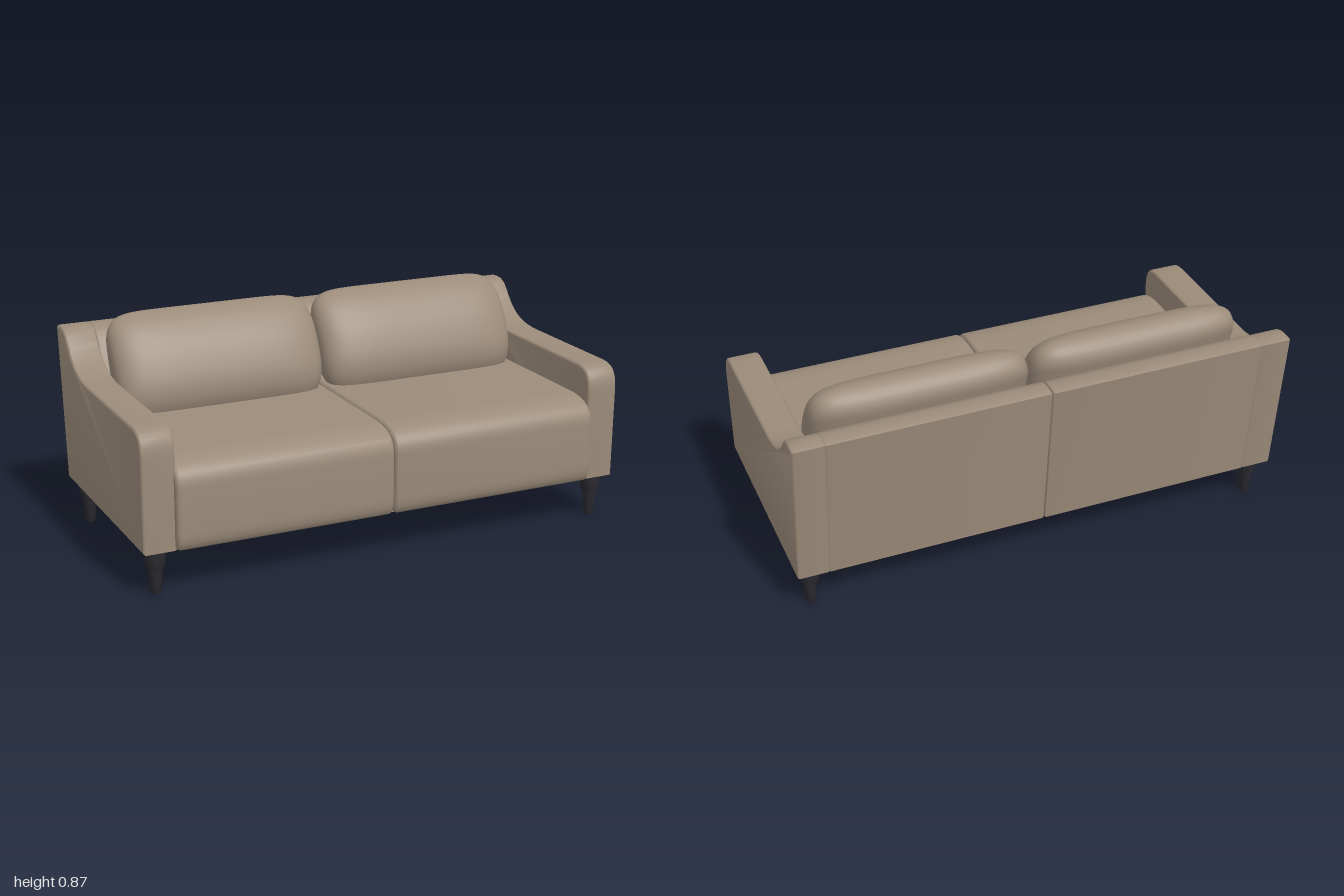
import * as THREE from 'three';
import { toCreasedNormals } from 'three/addons/utils/BufferGeometryUtils.js';

const fabric = new THREE.MeshStandardMaterial({ color: 0x9c8c7a });
fabric.name = 'taupe fabric';
const legPaint = new THREE.MeshStandardMaterial({ color: 0x2b2b32 });
legPaint.name = 'dark leg';

function addMesh(parent, name, geometry, material) {
  const mesh = new THREE.Mesh(geometry, material);
  mesh.name = name;
  parent.add(mesh);
  return mesh;
}

// Extrude a side profile (drawn in z, y) from x0 to x1 with softened ends
function sideExtrude(shape, x0, x1, bevel) {
  const g = new THREE.ExtrudeGeometry(shape, {
    depth: x1 - x0 - 2 * bevel, curveSegments: 14, bevelEnabled: true,
    bevelThickness: bevel, bevelSize: bevel, bevelOffset: -bevel, bevelSegments: 5,
  });
  g.rotateY(-Math.PI / 2);
  g.translate(x1 - bevel, 0, 0);
  return toCreasedNormals(g, 0.6);
}

// Sloping upper outline shared by the arms and the back
function rearSweep(s) {
  s.bezierCurveTo(-0.39, 0.645, -0.34, 0.805, -0.455, 0.805);
  s.quadraticCurveTo(-0.49, 0.806, -0.505, 0.798);
  s.lineTo(-0.442, 0.18);
}

function armShape() {
  const s = new THREE.Shape();
  s.moveTo(-0.442, 0.18);
  s.lineTo(0.475, 0.18);
  s.lineTo(0.48, 0.54);
  s.bezierCurveTo(0.48, 0.615, 0.455, 0.645, 0.38, 0.645);
  s.lineTo(-0.12, 0.645);
  rearSweep(s);
  return s;
}

function backShape() {
  const s = new THREE.Shape();
  s.moveTo(-0.442, 0.18);
  s.lineTo(-0.2, 0.18);
  s.lineTo(-0.2, 0.5);
  s.lineTo(-0.34, 0.715);
  s.bezierCurveTo(-0.37, 0.765, -0.4, 0.805, -0.455, 0.805);
  s.quadraticCurveTo(-0.49, 0.806, -0.505, 0.798);
  s.lineTo(-0.442, 0.18);
  return s;
}

function seatShape() {
  const s = new THREE.Shape();
  s.moveTo(-0.25, 0.182);
  s.lineTo(0.485, 0.182);
  s.quadraticCurveTo(0.504, 0.2, 0.506, 0.25);
  s.lineTo(0.506, 0.42);
  s.bezierCurveTo(0.506, 0.49, 0.46, 0.52, 0.35, 0.522);
  s.lineTo(-0.25, 0.522);
  s.lineTo(-0.25, 0.182);
  return s;
}

// Pillow: a leaning closed section, shrunk towards both ends
function pillowGeometry(halfWidth) {
  const section = new THREE.CatmullRomCurve3([
    [-0.064, 0.62], [-0.1, 0.72], [-0.145, 0.79], [-0.2, 0.845], [-0.25, 0.871],
    [-0.3, 0.876], [-0.342, 0.85], [-0.361, 0.81], [-0.352, 0.755], [-0.325, 0.66],
    [-0.27, 0.54], [-0.2, 0.48], [-0.1, 0.49], [-0.066, 0.55],
  ].map(([z, y]) => new THREE.Vector3(0, y, z)), true);
  const around = 56, along = 48;
  const ring = section.getSpacedPoints(around).slice(0, around);
  const centre = new THREE.Vector3(0, 0.68, -0.215);
  const longAxis = new THREE.Vector3(0, 0.91, -0.41).normalize();
  const thinAxis = new THREE.Vector3(0, 0.41, 0.91).normalize();
  const positions = [], index = [];
  const d = new THREE.Vector3();
  for (let i = 0; i <= along; i++) {
    const a = -Math.PI / 2 + Math.PI * i / along;
    const u = Math.sign(a) * (1 - Math.pow(1 - Math.abs(Math.sin(a)), 1.3));
    const m = Math.min(Math.abs(u), 1);
    const tall = Math.pow(1 - Math.pow(m, 9), 1 / 4);
    const thick = Math.pow(1 - Math.pow(m, 4.5), 1 / 3);
    for (const p of ring) {
      d.subVectors(p, centre);
      const l = d.dot(longAxis) * tall, t = d.dot(thinAxis) * thick;
      positions.push(u * halfWidth,
        centre.y + longAxis.y * l + thinAxis.y * t,
        centre.z + longAxis.z * l + thinAxis.z * t);
    }
  }
  for (let i = 0; i < along; i++) {
    for (let j = 0; j < around; j++) {
      const k = (j + 1) % around;
      const a = i * around + j, b = i * around + k;
      const c = a + around, e = b + around;
      index.push(a, b, c, b, e, c);
    }
  }
  const g = new THREE.BufferGeometry();
  g.setAttribute('position', new THREE.Float32BufferAttribute(positions, 3));
  // Make sure the faces point outwards
  const mid = (along / 2) * around;
  const pa = new THREE.Vector3().fromArray(positions, mid * 3);
  const pb = new THREE.Vector3().fromArray(positions, (mid + 1) * 3);
  const pc = new THREE.Vector3().fromArray(positions, (mid + around) * 3);
  const n = pb.clone().sub(pa).cross(pc.sub(pa));
  if (n.dot(pa.sub(centre)) < 0) index.reverse();
  g.setIndex(index);
  g.computeVertexNormals();
  return g;
}

function legGeometry() {
  const profile = [[0, 0.003], [0.016, 0.003], [0.02, 0.01], [0.027, 0.1], [0.028, 0.106],
    [0.033, 0.106], [0.036, 0.112], [0.043, 0.175], [0.043, 0.185], [0, 0.185]];
  const g = new THREE.LatheGeometry(profile.map(([r, y]) => new THREE.Vector2(r, y)), 24);
  return toCreasedNormals(g, 0.6);
}

export function createModel() {
  const sofa = new THREE.Group();
  sofa.name = 'sofa';

  // Hidden frame and flat underside
  const base = addMesh(sofa, 'base', new THREE.BoxGeometry(1.96, 0.12, 0.9), fabric);
  base.position.set(0, 0.241, 0.019);

  const pillow = pillowGeometry(0.433);
  const leg = legGeometry();
  for (const side of [-1, 1]) {
    const label = side > 0 ? 'left' : 'right';
    const span = (a, b) => (side > 0 ? [a, b] : [-b, -a]);

    addMesh(sofa, label + 'Arm', sideExtrude(armShape(), ...span(0.868, 0.998), 0.012), fabric);
    addMesh(sofa, label + 'Back', sideExtrude(backShape(), ...span(0.001, 0.875), 0.009), fabric);
    addMesh(sofa, label + 'Seat', sideExtrude(seatShape(), ...span(0.001, 0.876), 0.018), fabric);
    addMesh(sofa, label + 'BackCushion', pillow, fabric).position.x = side * 0.437;

    // Tapered stepped legs
    for (const [end, z] of [['Front', 0.415], ['Rear', -0.37]]) {
      addMesh(sofa, label + end + 'Leg', leg, legPaint).position.set(side * 0.935, 0, z);
    }
  }
  return sofa;
}
